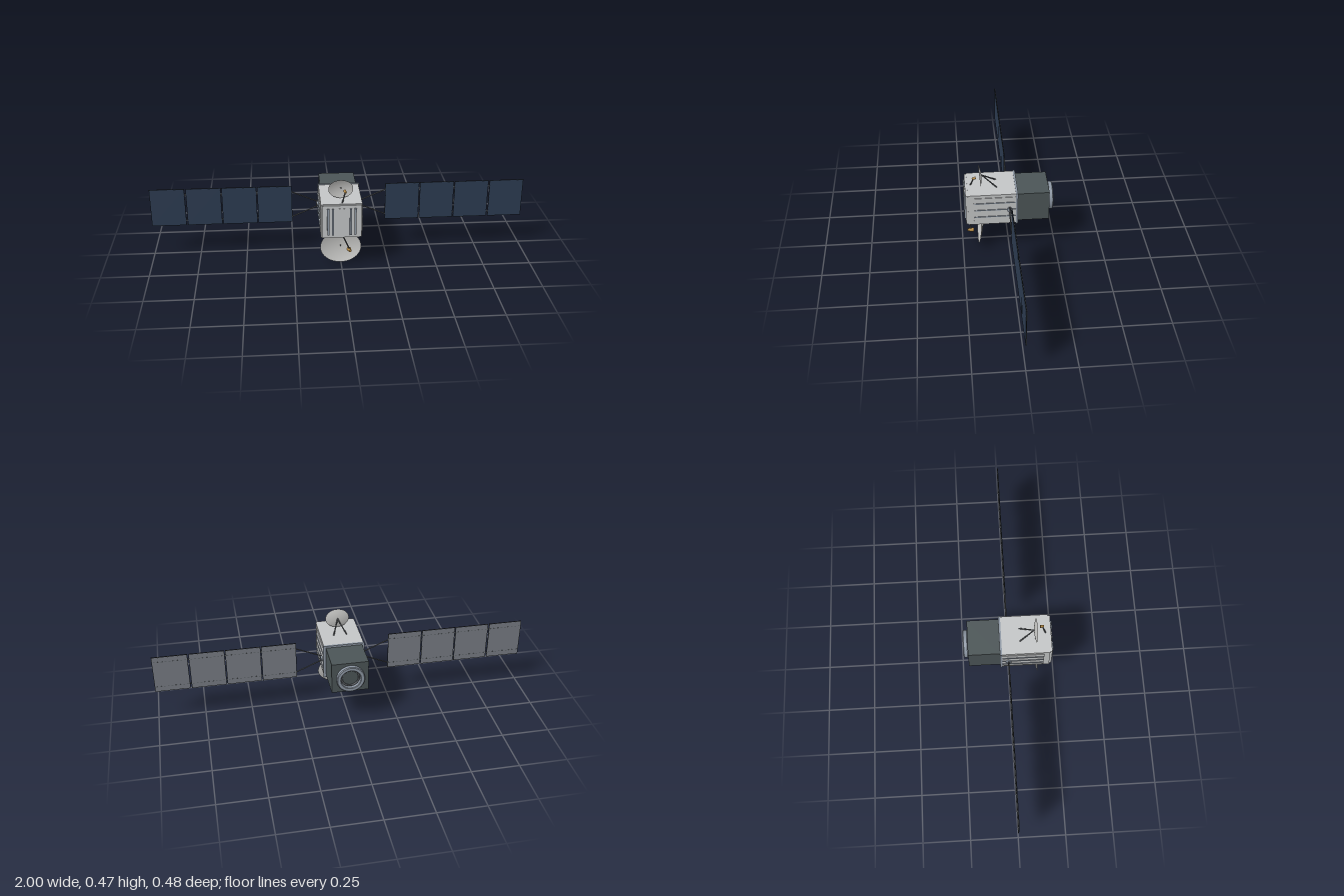
import * as THREE from 'three';

const mat = (name, color, side = THREE.FrontSide) => {
  const m = new THREE.MeshStandardMaterial({ color, side });
  m.name = name;
  return m;
};

export function createModel() {
  const M = {
    hull: mat('light grey hull', 0xc3c5c6),
    dish: mat('dish grey', 0xc0c0be, THREE.DoubleSide),
    steel: mat('blue steel', 0x8d97a3),
    dark: mat('dark module', 0x4b5456),
    cell: mat('navy solar cell', 0x2c3b50),
    back: mat('panel back grey', 0x767b82),
    strut: mat('strut grey', 0x55595d),
    black: mat('black trim', 0x24282c),
    gold: mat('gold horn', 0xb58a45),
  };
  const root = new THREE.Group();
  root.name = 'satellite';
  const CY = 0.271; // height of the main axis

  const add = (name, geo, m, x = 0, y = 0, z = 0, parent = root) => {
    const mesh = new THREE.Mesh(geo, m);
    mesh.name = name;
    mesh.position.set(x, y, z);
    parent.add(mesh);
    return mesh;
  };
  const box = (name, m, w, h, d, x, y, z, parent) =>
    add(name, new THREE.BoxGeometry(w, h, d), m, x, y, z, parent);
  // Tapered rod between two points, r1 at a and r2 at b
  const rod = (name, m, a, b, r1, r2 = r1, parent = root, sides = 10) => {
    const p = new THREE.Vector3(...a), q = new THREE.Vector3(...b);
    const dir = q.clone().sub(p);
    const mesh = add(name, new THREE.CylinderGeometry(r2, r1, dir.length(), sides), m, 0, 0, 0, parent);
    mesh.position.copy(p).add(q).multiplyScalar(0.5);
    mesh.quaternion.setFromUnitVectors(new THREE.Vector3(0, 1, 0), dir.normalize());
    return mesh;
  };

  // Main body with stepped front, rear flange and dark service module
  box('mainBody', M.hull, 0.214, 0.187, 0.256, 0, CY, 0.09);
  box('frontStep', M.hull, 0.204, 0.181, 0.012, 0, CY, 0.224);
  box('rearFlange', M.steel, 0.222, 0.193, 0.011, 0, CY, -0.0395);
  box('serviceModule', M.dark, 0.194, 0.171, 0.168, 0, CY, -0.128);
  for (const x of [-0.07, -0.046, 0.046, 0.07])
    box('frontLouvre', M.steel, 0.011, 0.148, 0.008, x, CY, 0.234);
  for (const x of [-0.012, 0.012])
    box('frontRib', M.hull, 0.008, 0.148, 0.006, x, CY, 0.233);

  // Rear engine ring, open in the middle with a recessed disc
  const ringProfile = [[0.07, 0], [0.074, 0.004], [0.074, 0.021], [0.07, 0.025],
    [0.055, 0.025], [0.052, 0.022], [0.052, 0.002]];
  const hard = []; // repeated points keep the profile edges crisp
  ringProfile.forEach(([r, y], i) => {
    const p = new THREE.Vector2(r, y);
    hard.push(p);
    if (i > 0 && i < ringProfile.length - 1) hard.push(p.clone());
  });
  const ringGeo = new THREE.LatheGeometry(hard, 40).rotateX(-Math.PI / 2);
  const ringMat = M.steel;
  ringMat.side = THREE.DoubleSide;
  add('engineRing', ringGeo, ringMat, 0, CY, -0.212);
  add('engineDisc', new THREE.CylinderGeometry(0.053, 0.053, 0.006, 32).rotateX(Math.PI / 2), M.dark, 0, CY, -0.213);
  add('engineInnerRing', new THREE.TorusGeometry(0.046, 0.005, 8, 32), M.strut, 0, CY, -0.217);

  // Side plates, ribs, hubs and solar wings, mirrored
  for (const s of [-1, 1]) {
    box('sidePlate', M.hull, 0.004, 0.152, 0.222, s * 0.108, CY, 0.077);
    for (const dy of [-0.043, 0, 0.043])
      box('sideRib', M.steel, 0.005, 0.005, 0.218, s * 0.111, CY + dy, 0.076);

    rod('wingHub', M.steel, [s * 0.106, CY, 0], [s * 0.12, CY, 0], 0.0135, 0.0135, root, 20);
    const wing = new THREE.Group();
    wing.name = s > 0 ? 'leftWing' : 'rightWing';
    root.add(wing);
    box('yokeBar', M.strut, 0.006, 0.036, 0.006, s * 0.118, CY, 0, wing);
    for (const t of [-1, 1])
      rod('yokeStrut', M.strut, [s * 0.118, CY + t * 0.015, 0], [s * 0.252, CY + t * 0.073, 0], 0.0032, 0.0032, wing);

    const pitch = 0.188, w = 0.183, h = 0.21;
    for (let i = 0; i < 4; i++) {
      const x = s * (0.2505 + w / 2 + i * pitch - 0.0015 + (i === 3 ? 0.0035 : 0.001));
      box('panelCore', M.black, w, h, 0.004, x, CY + 0.002, 0, wing);
      box('solarCells', M.cell, w - 0.002, h - 0.002, 0.001, x, CY + 0.002, 0.0024, wing);
      box('panelBack', M.back, w - 0.003, h - 0.004, 0.001, x, CY + 0.002, -0.0024, wing);
      // Dashed fastener rows on the rear face
      for (const t of [-1, 1]) for (let k = 0; k < 9; k++)
        box('fastener', M.strut, 0.009, 0.003, 0.001, x + (k - 4) * 0.02, CY + 0.002 + t * 0.075, -0.0032, wing);
      if (i < 3) for (const t of [-1, 1])
        box('hinge', M.strut, 0.009, 0.008, 0.003, x + s * pitch / 2, CY + t * 0.075, 0, wing);
    }
  }

  // Oval dish antennas, each with a V mount and an offset feed horn
  const dish = (o) => {
    const g = new THREE.Group();
    g.name = o.name;
    root.add(g);
    const pts = [];
    for (let i = 0; i <= 10; i++) {
      const t = i / 10;
      pts.push(new THREE.Vector2(Math.max(o.r * t, 1e-4), o.depth * t * t));
    }
    const geo = new THREE.LatheGeometry(pts, 48).rotateX(Math.PI / 2).scale(1.24, 1, 1);
    add('reflector', geo, M.dish, 0, o.y, o.z, g).rotation.x = o.tilt;
    add('dishCentre', new THREE.SphereGeometry(0.004, 12, 8), M.strut, 0, o.y, o.z - 0.001, g);
    for (const s of [-1, 1])
      rod('dishMount', M.strut, [s * 0.036, o.baseY, 0.062], [0, o.y, o.z - 0.001], 0.0034, 0.0034, g);
    rod('feedArm', M.strut, o.arm[0], o.arm[1], 0.0036, 0.0036, g);
    rod('feedHorn', M.gold, o.horn[0], o.horn[1], o.hr[0], o.hr[1], g, 20);
  };
  dish({
    name: 'upperDish', r: 0.052, depth: 0.011, y: 0.42, z: 0.1395, tilt: 0.097, baseY: 0.363,
    arm: [[0.004, 0.362, 0.201], [0.021, 0.416, 0.183]],
    horn: [[0.023, 0.415, 0.191], [0.019, 0.418, 0.172]], hr: [0.005, 0.0075],
  });
  dish({
    name: 'lowerDish', r: 0.0875, depth: 0.018, y: 0.087, z: 0.139, tilt: -0.105, baseY: 0.18,
    arm: [[0.006, 0.18, 0.208], [0.043, 0.096, 0.206]],
    horn: [[0.045, 0.095, 0.223], [0.04, 0.091, 0.191]], hr: [0.007, 0.0115],
  });

  return root;
}
